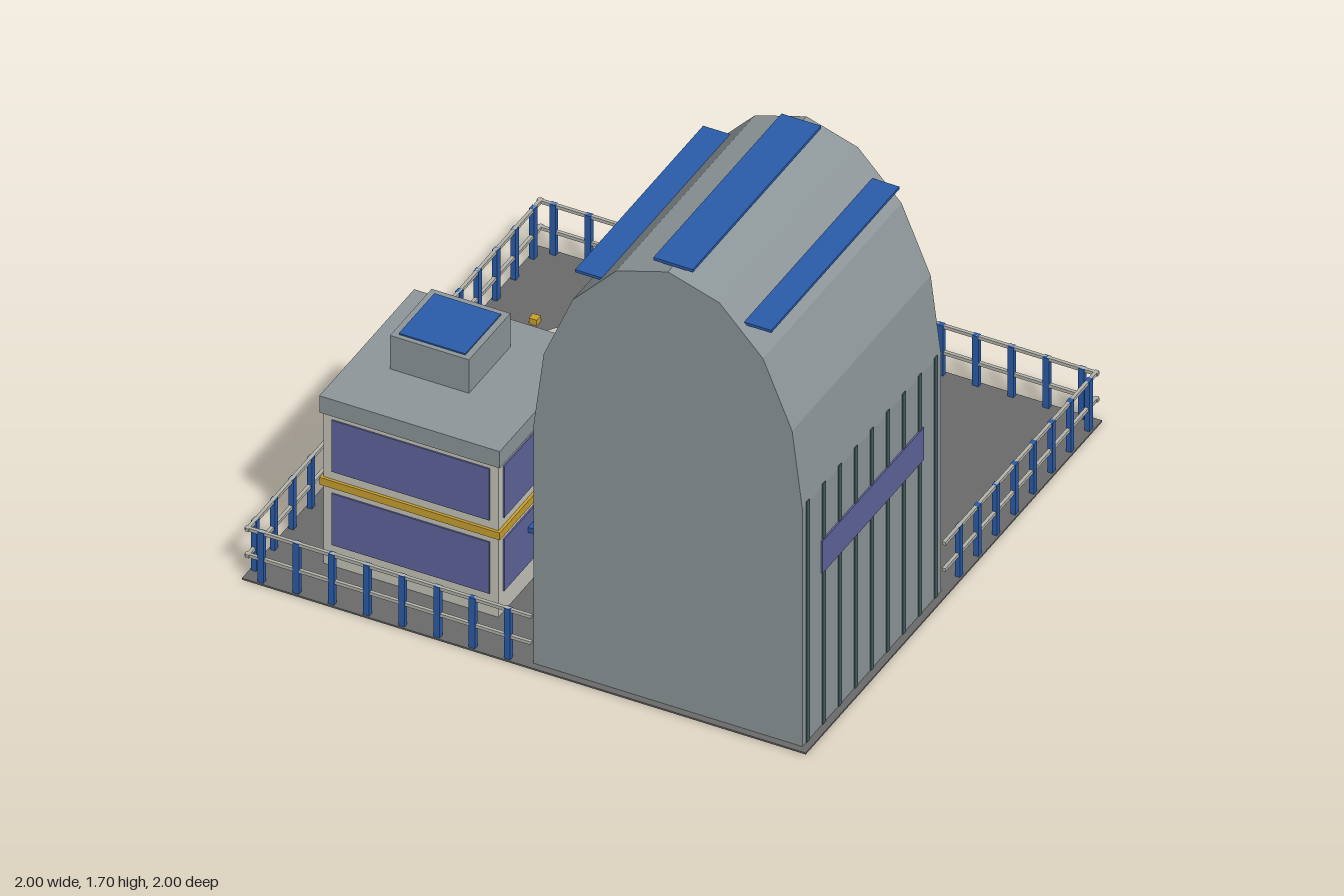
import * as THREE from 'three';

const mat = (name, color, side = THREE.FrontSide) => {
  const m = new THREE.MeshStandardMaterial({ color, side });
  m.name = name;
  return m;
};

export function createModel() {
  const asphalt = mat('asphalt', 0x6b6b6b);
  const steel = mat('grey steel', 0x8e979a);
  const rib = mat('dark teal', 0x4a6064);
  const blue = mat('blue', 0x2a5caa);
  const cream = mat('cream', 0xc6c5ba);
  const glass = mat('violet glass', 0x5f649c);
  const gold = mat('gold', 0xc9a02f);
  const rail = mat('pale rail', 0xb4b4ac);

  const model = new THREE.Group();
  model.name = 'airfieldBase';
  const group = (name) => {
    const g = new THREE.Group();
    g.name = name;
    model.add(g);
    return g;
  };
  const add = (parent, name, geo, material) => {
    const m = new THREE.Mesh(geo, material);
    m.name = name;
    parent.add(m);
    return m;
  };
  // box given by its limits on each axis
  const box = (parent, name, material, [x0, x1], [y0, y1], [z0, z1]) => {
    const m = add(parent, name, new THREE.BoxGeometry(x1 - x0, y1 - y0, z1 - z0), material);
    m.position.set((x0 + x1) / 2, (y0 + y1) / 2, (z0 + z1) / 2);
    return m;
  };
  const around = (c, h) => [c - h, c + h];

  box(model, 'ground', asphalt, [-1, 1], [0, 0.006], [-1, 1]);

  // Hangar: straight sides with an eight-sided elliptical vault
  const hangar = group('hangar');
  const cx = 0.498, zBack = 0.04, zFront = 0.975, spring = 0.93;
  const arch = (inset) => {
    const pts = [new THREE.Vector2(cx + 0.477 - inset, 0)];
    for (let i = 0; i <= 8; i++) {
      const a = (i * Math.PI) / 8;
      pts.push(new THREE.Vector2(cx + (0.477 - inset) * Math.cos(a), spring + (0.76 - inset) * Math.sin(a)));
    }
    pts.push(new THREE.Vector2(cx - 0.477 + inset, 0));
    return pts;
  };
  const slab = (name, pts, z0, z1) => {
    const geo = new THREE.ExtrudeGeometry(new THREE.Shape(pts), { depth: z1 - z0, bevelEnabled: false });
    add(hangar, name, geo, steel).position.z = z0;
  };
  const wall = 0.02;
  slab('vault', [...arch(0), ...arch(wall).reverse()], zBack + wall, zFront - wall);
  slab('frontWall', arch(0), zFront - wall, zFront);
  const doorHalf = 0.42, doorTop = 0.78;
  slab('doorwayWall', [
    ...arch(0),
    new THREE.Vector2(cx - doorHalf, 0), new THREE.Vector2(cx - doorHalf, doorTop),
    new THREE.Vector2(cx + doorHalf, doorTop), new THREE.Vector2(cx + doorHalf, 0),
  ], zBack, zBack + wall);

  for (const s of [-1, 1]) {
    // open sliding doors
    box(hangar, 'hangarDoor', blue, around(cx + s * (doorHalf - 0.052), 0.052), [0.006, doorTop], [zBack + 0.004, zBack + 0.034]);
    // ribs and window strip on the side wall
    for (let i = 0; i < 9; i++) {
      box(hangar, 'rib', rib, around(cx + s * 0.477, 0.003), [0, 0.94], around(0.075 + i * 0.108, 0.01));
    }
    box(hangar, 'sideWindow', glass, around(cx + s * 0.479, 0.004), [0.6, 0.725], [0.165, 0.85]);
    box(hangar, 'sideRoofPanel', blue, around(cx + s * 0.3, 0.048), [1.548, 1.558], [0.075, 0.94]);
  }
  box(hangar, 'topRoofPanel', blue, around(cx, 0.07), [1.689, 1.7], [0.075, 0.94]);

  // Two-storey office
  const office = group('office');
  const ox = -0.5, oz = 0.5;
  box(office, 'walls', cream, around(ox, 0.31), [0, 0.6], around(oz, 0.31));
  box(office, 'roofSlab', steel, around(ox, 0.32), [0.595, 0.66], around(oz, 0.32));
  box(office, 'goldBand', gold, around(ox, 0.32), [0.315, 0.343], around(oz, 0.32));
  box(office, 'roofHouse', steel, around(-0.55, 0.14), [0.66, 0.79], around(0.45, 0.14));
  box(office, 'roofHousePanel', blue, around(-0.55, 0.118), [0.788, 0.795], around(0.453, 0.12));
  for (const y of [[0.09, 0.29], [0.375, 0.575]]) {
    for (const s of [-1, 1]) {
      box(office, 'window', glass, around(ox, 0.28), y, around(oz + s * 0.311, 0.004));
      box(office, 'window', glass, around(ox + s * 0.311, 0.004), y, around(oz, 0.28));
    }
  }
  // entrance with canopy
  box(office, 'entranceDoor', rail, [-0.19, -0.175], [0, 0.2], around(oz, 0.07));
  box(office, 'canopy', blue, [-0.19, -0.08], [0.215, 0.235], [0.37, 0.62]);
  for (const z of [0.39, 0.6]) box(office, 'canopyPost', rail, around(-0.1, 0.006), [0, 0.215], around(z, 0.006));

  // Landing circle with marker lamps
  const pad = group('landingPad');
  pad.position.set(-0.5, 0, -0.5);
  const ring = add(pad, 'ring', new THREE.RingGeometry(0.245, 0.285, 16), cream);
  ring.rotation.x = -Math.PI / 2;
  ring.position.y = 0.009;
  for (let i = 0; i < 8; i++) {
    const a = ((i + 0.5) * Math.PI) / 4;
    box(pad, 'lamp', gold, around(0.345 * Math.cos(a), 0.014), [0.004, 0.028], around(0.345 * Math.sin(a), 0.014));
  }

  // Fence: full runs at the back and one side, half runs beside the hangar
  const fence = group('fence');
  const edge = 0.985;
  const run = (alongX, offset, end, count) => {
    const place = (name, m, len, y, half) => alongX
      ? box(fence, name, m, len, y, around(offset, half))
      : box(fence, name, m, around(offset, half), y, len);
    for (let i = 0; i < count; i++) place('fencePost', blue, around(-0.9375 + i * 0.125, 0.011), [0, 0.2], 0.009);
    for (const y of [0.092, 0.194]) place('fenceRail', rail, [-0.995, end], around(y, 0.006), 0.006);
  };
  run(true, -edge, 0.995, 16);
  run(false, -edge, 0.995, 16);
  run(true, edge, 0.02, 8);
  run(false, edge, 0.04, 8);

  return model;
}
